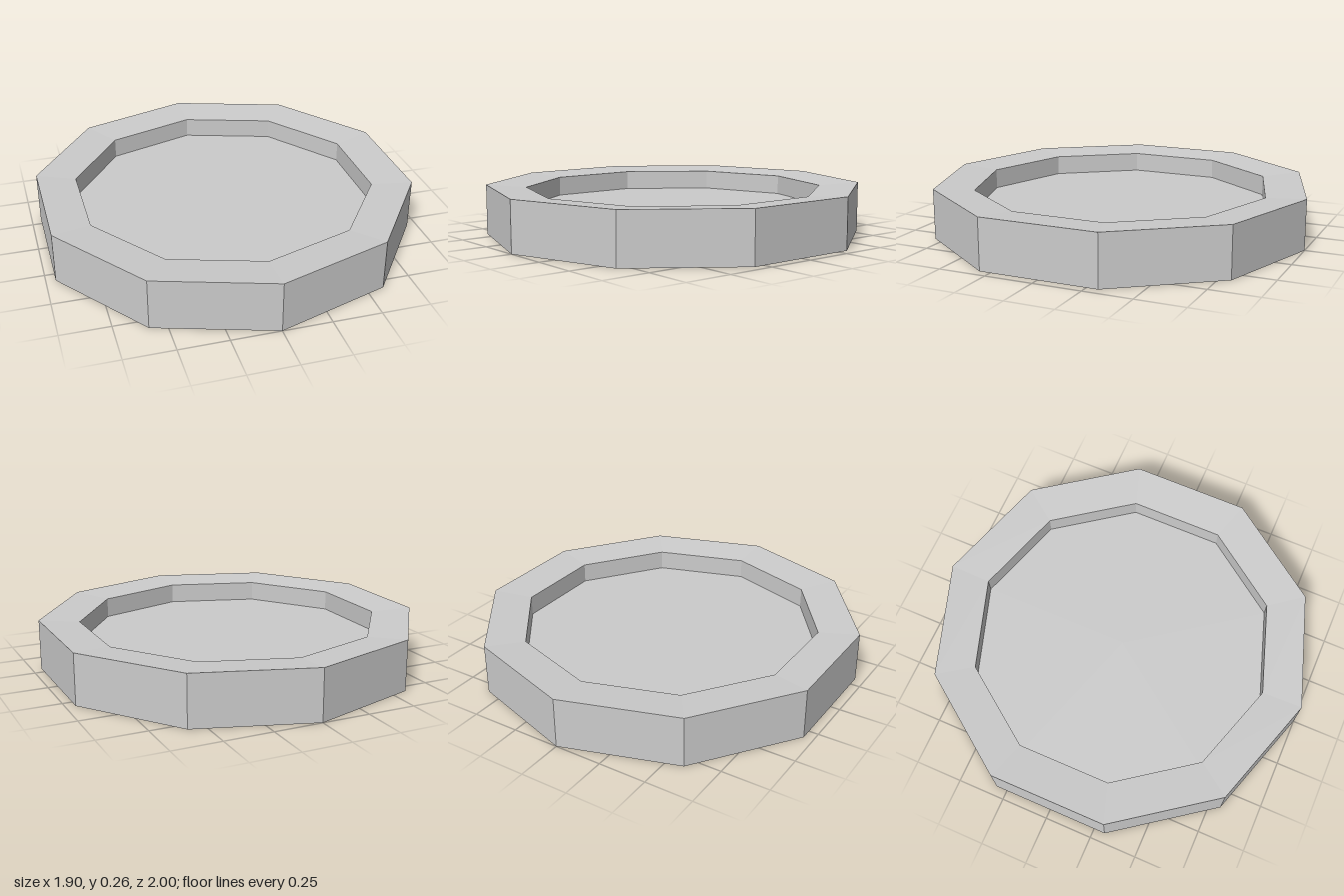
import * as THREE from 'three';

const SIDES = 10;
const material = new THREE.MeshStandardMaterial({ color: 0xcccccc, flatShading: true });

// Ten-sided solid turned from [radius, height] pairs; a corner points to the front.
function turned(name, profile) {
  const points = profile.map(([r, y]) => new THREE.Vector2(r, y));
  const mesh = new THREE.Mesh(new THREE.LatheGeometry(points, SIDES), material);
  mesh.name = name;
  return mesh;
}

export function createModel() {
  const group = new THREE.Group();
  group.name = 'shallowDish';
  const inner = 0.788;

  // Rim, its top and bottom faces dipping slightly toward the middle
  group.add(turned('rim', [
    [inner, 0.118], [inner, 0.015], [1, 0], [1, 0.265], [inner, 0.25], [inner, 0.146],
  ]));

  // Recessed floor: upper and lower faces of the thin plate inside the rim
  group.add(turned('floorTop', [[inner, 0.146], [0, 0.146]]));
  group.add(turned('floorUnderside', [[0, 0.118], [inner, 0.118]]));

  return group;
}
